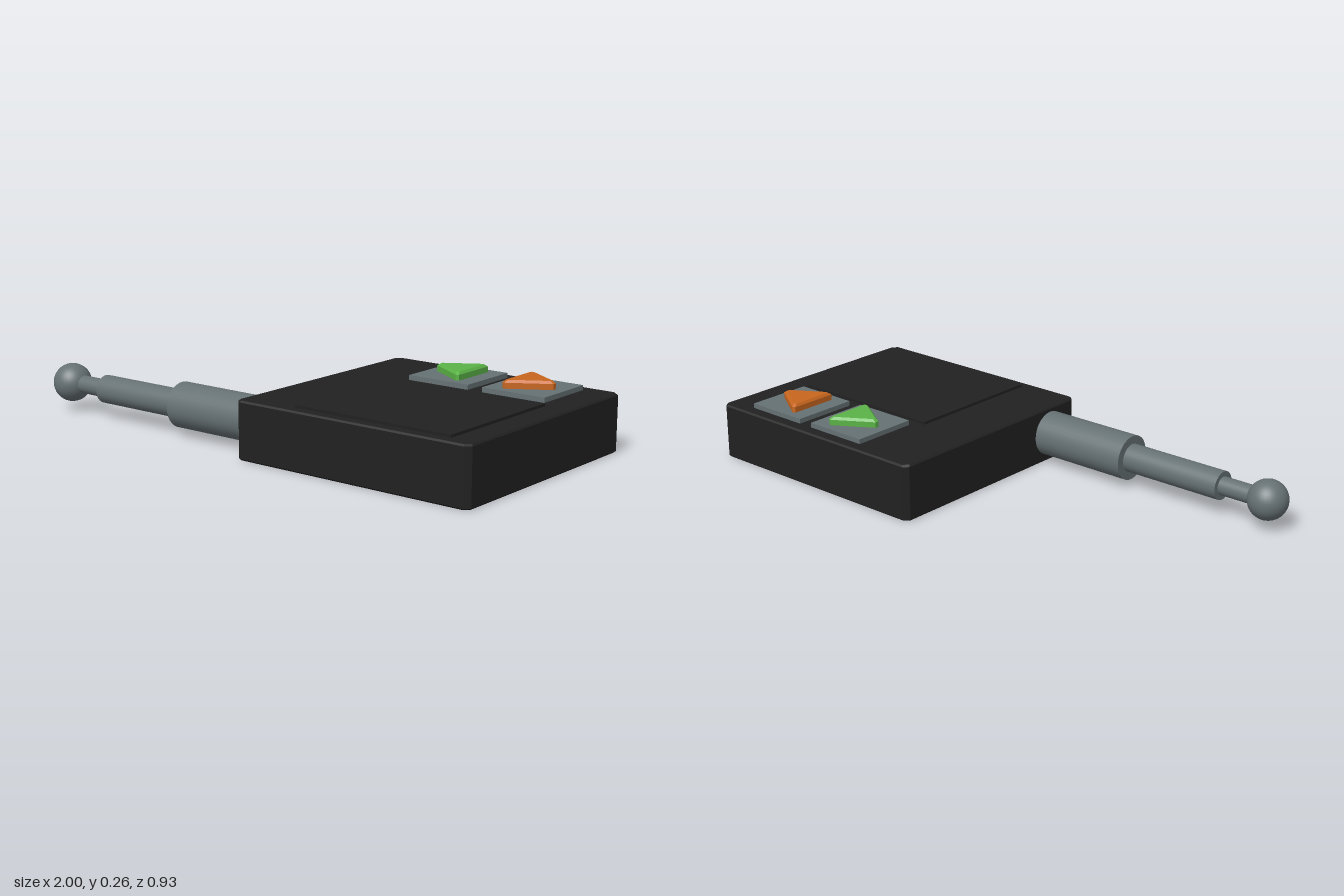
import * as THREE from 'three';

const mat = (name, color, flatShading = false) => {
  const m = new THREE.MeshStandardMaterial({ color });
  m.name = name;
  m.flatShading = flatShading;
  return m;
};

// Solid from stacked rings of [x, y, z], each counter-clockwise seen from above
function loft(rings) {
  const pos = [];
  const tri = (...pts) => pts.forEach((p) => pos.push(...p));
  const n = rings[0].length;
  const last = rings[rings.length - 1];
  for (let i = 0; i < n; i++) {
    const j = (i + 1) % n;
    for (let k = 0; k < rings.length - 1; k++) {
      const a = rings[k], b = rings[k + 1];
      tri(a[i], a[j], b[j]);
      tri(a[i], b[j], b[i]);
    }
    if (i > 0 && j > 0) {
      tri(last[0], last[i], last[j]);
      tri(rings[0][0], rings[0][j], rings[0][i]);
    }
  }
  const g = new THREE.BufferGeometry();
  g.setAttribute('position', new THREE.Float32BufferAttribute(pos, 3));
  g.computeVertexNormals();
  return g;
}

// Rectangle with cut corners at height y
function cutRect(w, d, cut, y) {
  const x = w / 2, z = d / 2;
  return [[-x + cut, z], [x - cut, z], [x, z - cut], [x, -z + cut],
    [x - cut, -z], [-x + cut, -z], [-x, -z + cut], [-x, z - cut]].map(([a, b]) => [a, y, b]);
}

// Triangle with blunt tips pointing to +x, shrunk about its middle by s
function arrowRing(s, y) {
  return [[0.1, -0.007], [-0.042, -0.088], [-0.053, -0.084], [-0.053, 0.084],
    [-0.042, 0.088], [0.1, 0.007]].reverse()
    .map(([x, z]) => [x * s, y, z * s * 1.09]).reverse();
}

export function createModel() {
  const group = new THREE.Group();
  const black = mat('black casing', 0x212121);
  const grey = mat('grey fittings', 0x667174);
  const green = mat('green button', 0x5ab346);
  const orange = mat('orange button', 0xc8661f);

  const add = (name, geometry, material, x, y, z) => {
    const m = new THREE.Mesh(geometry, material);
    m.name = name;
    m.position.set(x, y, z);
    group.add(m);
    return m;
  };

  // Casing with cut corners and finely bevelled rims
  add('casing', loft([
    cutRect(0.946, 0.914, 0.018, 0),
    cutRect(0.958, 0.926, 0.018, 0.006),
    cutRect(0.958, 0.926, 0.018, 0.204),
    cutRect(0.946, 0.914, 0.018, 0.21),
  ]), black, 0.52, 0, 0);

  // Raised cover on top
  add('cover', new THREE.BoxGeometry(0.63, 0.02, 0.545), black, 0.587, 0.21, 0.1475);

  // Two arrow buttons on square plates
  const arrow = loft([arrowRing(1, 0), arrowRing(1, 0.021), arrowRing(0.86, 0.03)]);
  for (const [name, x, tip, material] of [['left', 0.439, -1, green], ['right', 0.75, 1, orange]]) {
    add(name + 'ButtonPlate', new THREE.BoxGeometry(0.252, 0.026, 0.252), grey, x, 0.215, -0.29);
    const b = add(name + 'ArrowButton', arrow, material, x - tip * 0.012, 0.228, -0.29);
    if (tip < 0) b.rotation.y = Math.PI;
  }

  // Telescopic aerial
  for (const [name, radius, x0, x1] of [
    ['aerialBase', 0.084, -0.345, 0.06],
    ['aerialMiddle', 0.053, -0.742, -0.345],
    ['aerialTip', 0.034, -0.92, -0.742],
  ]) {
    const g = new THREE.CylinderGeometry(radius, radius, x1 - x0, 32).rotateZ(Math.PI / 2);
    add(name, g, grey, (x0 + x1) / 2, 0.109, 0.316);
  }
  add('aerialBall', new THREE.SphereGeometry(0.073, 32, 20), grey, -0.927, 0.109, 0.316);

  return group;
}
